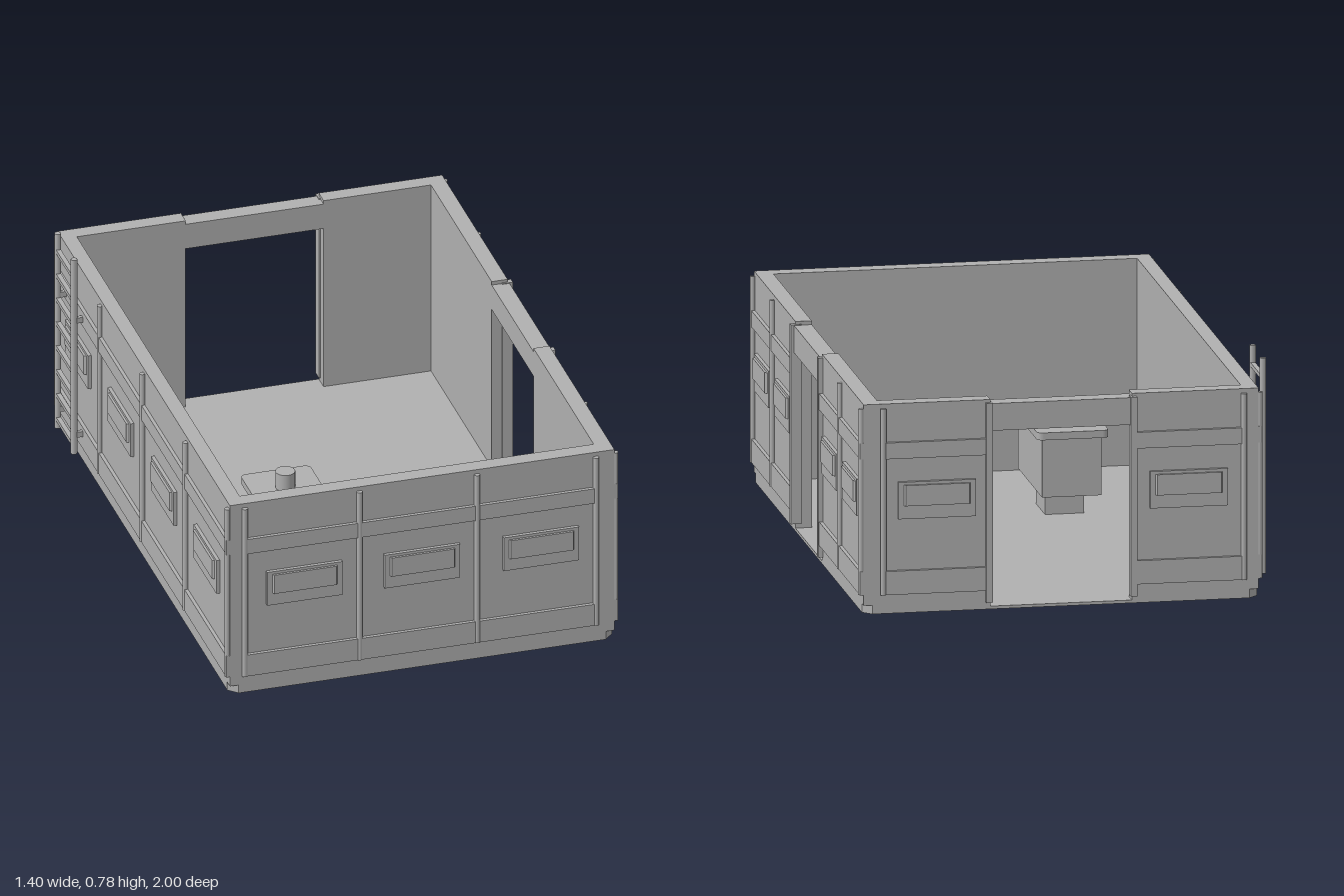
import * as THREE from 'three';

const X0 = -0.65, X1 = 0.675, Z = 0.98;            // outer wall faces
const IX0 = -0.6, IX1 = 0.62, IZ = 0.925;          // inner wall faces
const DOOR_R = [-0.235, 0.24], DOOR_B = [-0.225, 0.25];
const TOP = 0.71;

export function createModel() {
  const root = new THREE.Group();
  const grey = new THREE.MeshStandardMaterial({ color: 0xb0b0b0 });
  grey.name = 'paintedGrey';

  const add = (parent, name, geo, x = 0, y = 0, z = 0) => {
    const m = new THREE.Mesh(geo, grey);
    m.name = name;
    m.position.set(x, y, z);
    parent.add(m);
    return m;
  };
  // box given by its limits
  const block = (parent, name, x0, x1, y0, y1, z0, z1) =>
    add(parent, name, new THREE.BoxGeometry(x1 - x0, y1 - y0, z1 - z0),
      (x0 + x1) / 2, (y0 + y1) / 2, (z0 + z1) / 2);
  // plan outline in (x, z), raised from y0 to y1
  const raise = (name, pts, y0, y1) => {
    const shape = new THREE.Shape(pts.map(([x, z]) => new THREE.Vector2(x, -z)));
    const geo = new THREE.ExtrudeGeometry(shape, { depth: y1 - y0, bevelEnabled: false });
    geo.rotateX(-Math.PI / 2);
    return add(root, name, geo, 0, y0, 0);
  };

  // corner of the plan, cut by c (listed in walking order)
  const corners = c => ({
    frontRight: [[X1, Z - c], [X1 - c, Z]],
    frontLeft: [[X0 + c, Z], [X0, Z - c]],
    backLeft: [[X0, -Z + c], [X0 + c, -Z]],
    backRight: [[X1 - c, -Z], [X1, -Z + c]],
  });

  // floor
  const f = corners(0.03);
  raise('floor', [...f.frontRight, ...f.frontLeft, ...f.backLeft, ...f.backRight], 0, 0.01);

  // walls, broken by two doorways, with cut corners at the foot
  const clean = (pts) => pts.filter((p, i) => i === 0 || p[0] !== pts[i - 1][0] || p[1] !== pts[i - 1][1]);
  for (const [name, c, y0, y1] of [['wallFoot', 0.03, 0.01, 0.03], ['wall', 0, 0.03, TOP]]) {
    const k = corners(c);
    raise(name + 'Long', clean([
      [X1, DOOR_R[1]], ...k.frontRight, ...k.frontLeft, ...k.backLeft,
      [DOOR_B[0], -Z], [DOOR_B[0], -IZ], [IX0, -IZ], [IX0, IZ], [IX1, IZ], [IX1, DOOR_R[1]],
    ]), y0, y1);
    raise(name + 'Corner', clean([
      [DOOR_B[1], -Z], ...k.backRight, [X1, DOOR_R[0]],
      [IX1, DOOR_R[0]], [IX1, -IZ], [DOOR_B[1], -IZ],
    ]), y0, y1);
  }

  // door lintels
  block(root, 'sideLintel', IX1, X1 + 0.005, 0.605, 0.697, ...DOOR_R);
  block(root, 'backLintel', ...DOOR_B, 0.605, 0.697, -Z - 0.005, -IZ);

  // raised plate with a slope-ended handle block
  const plate = (side, u) => {
    block(side, 'panelPlate', u - 0.13, u + 0.13, 0.32, 0.445, 0, 0.012);
    const geo = new THREE.BoxGeometry(0.23, 0.07, 0.012);
    const p = geo.attributes.position;
    for (let i = 0; i < p.count; i++) {
      if (p.getZ(i) > 0) p.setX(i, p.getX(i) * 0.93);
    }
    geo.computeVertexNormals();
    add(side, 'panelHandle', geo, u, 0.4, 0.014);
  };

  // trim of one outer face: u runs along the wall, local z points outward
  const trim = (name, angle, x, z, { posts, doorPosts = [], spans, plates }) => {
    const side = new THREE.Group();
    side.name = name;
    side.rotation.y = angle;
    side.position.set(x, 0, z);
    root.add(side);
    for (const u of posts) {
      add(side, 'post', new THREE.CylinderGeometry(0.01, 0.01, 0.63, 10), u, 0.38, 0.006);
    }
    for (const u of doorPosts) block(side, 'doorPost', u - 0.011, u + 0.011, 0.025, 0.7, -0.02, 0.016);
    for (const [a, b] of spans) {
      block(side, 'upperBand', a, b, 0.525, 0.58, 0, 0.012);
      block(side, 'lowerBand', a, b, 0.065, 0.145, 0, 0.012);
    }
    for (const u of plates) plate(side, u);
  };

  trim('frontTrim', 0, 0, Z, {
    posts: [-0.6, -0.205, 0.2, 0.61], spans: [[-0.6, 0.61]], plates: [-0.395, 0.01, 0.42],
  });
  trim('backTrim', Math.PI, 0, -Z, {
    posts: [0.6, -0.61], doorPosts: [-0.255, 0.23],
    spans: [[0.23, 0.6], [-0.61, -0.255]], plates: [0.415, -0.43],
  });
  trim('leftTrim', Math.PI / 2, X1, 0, {
    posts: [-0.97, -0.62, 0.59, 0.97], doorPosts: [-0.245, 0.24],
    spans: [[-0.98, -0.245], [0.24, 0.98]], plates: [-0.79, -0.42, 0.42, 0.79],
  });
  trim('rightTrim', -Math.PI / 2, X0, 0, {
    posts: [-0.97, -0.48, 0.005, 0.495, 0.97], spans: [[-0.98, 0.98]],
    plates: [-0.725, -0.24, 0.25, 0.735],
  });

  // ladder
  const ladder = new THREE.Group();
  ladder.name = 'ladder';
  root.add(ladder);
  for (const z of [-0.845, -0.66]) {
    add(ladder, 'ladderRail', new THREE.CylinderGeometry(0.011, 0.011, 0.73, 10), -0.69, 0.415, z);
    for (const y of [0.12, 0.55]) block(ladder, 'ladderBracket', -0.69, X0, y - 0.01, y + 0.01, z - 0.007, z + 0.007);
  }
  for (let i = 0; i < 8; i++) {
    block(ladder, 'ladderRung', -0.698, -0.682, 0.078 + i * 0.09, 0.092 + i * 0.09, -0.845, -0.66);
  }

  // console table with rounded top
  const r = 0.02, a = -0.355, b = -0.115, c = -0.6, d = -0.12;
  const top = new THREE.Shape();
  top.moveTo(a + r, c);
  top.lineTo(b - r, c);
  top.absarc(b - r, c + r, r, -Math.PI / 2, 0);
  top.absarc(b - r, d - r, r, 0, Math.PI / 2);
  top.absarc(a + r, d - r, r, Math.PI / 2, Math.PI);
  top.absarc(a + r, c + r, r, Math.PI, Math.PI * 1.5);
  const topGeo = new THREE.ExtrudeGeometry(top, { depth: 0.025, bevelEnabled: false, curveSegments: 4 });
  topGeo.rotateX(-Math.PI / 2);
  add(root, 'tableTop', topGeo, 0, 0.3, 0);
  block(root, 'tableBody', -0.335, -0.135, 0.1, 0.3, 0.145, 0.575);
  block(root, 'tableFoot', -0.3, -0.17, 0.01, 0.1, 0.28, 0.44);
  for (const [z, h] of [[0.24, 0.06], [0.39, 0.015], [0.485, 0.015]]) {
    add(root, 'tableKnob', new THREE.CylinderGeometry(0.033, 0.033, h, 24), -0.235, 0.325 + h / 2, z);
  }
  return root;
}
